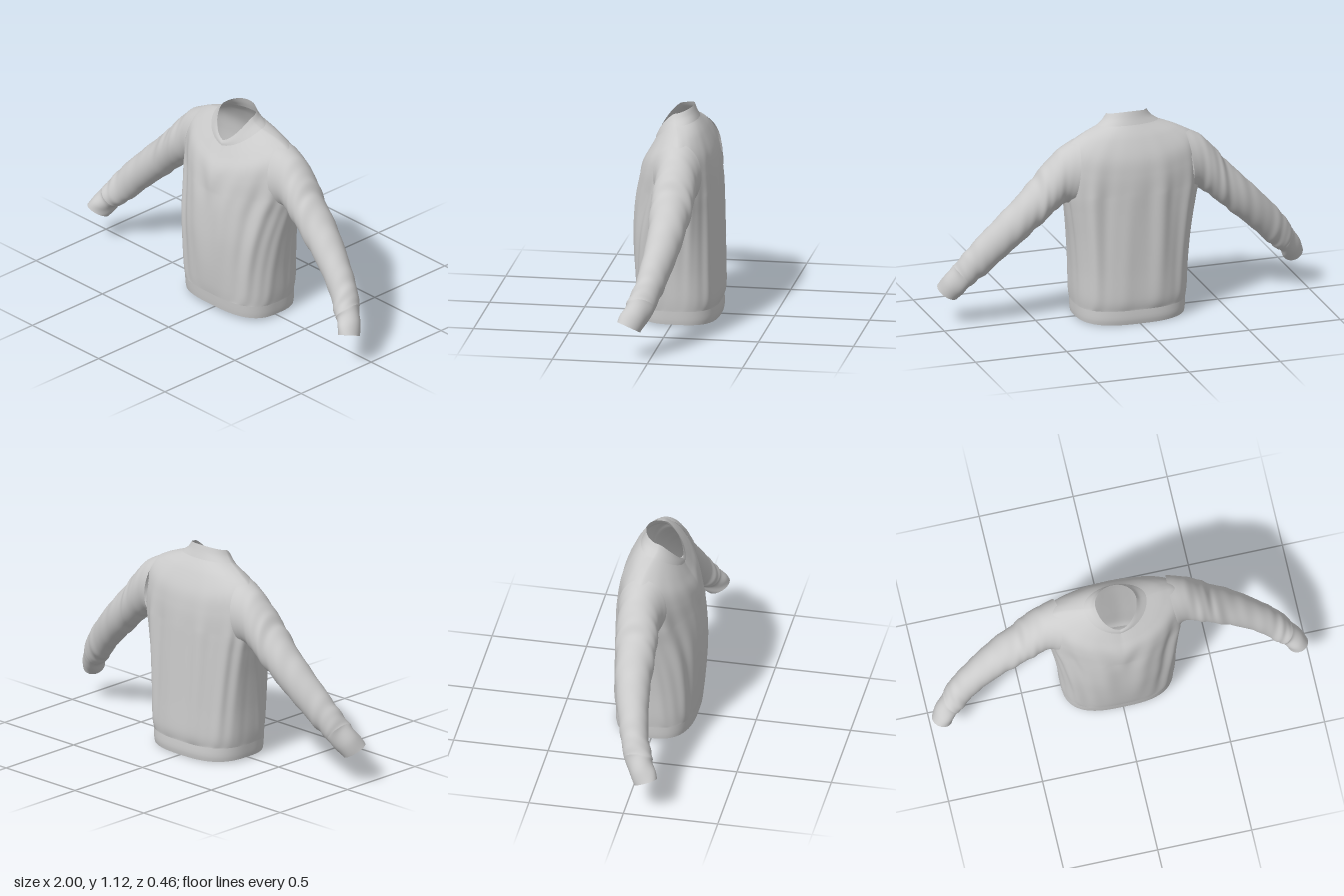
import * as THREE from 'three';

const { sin, cos, abs, sign, pow, exp, sqrt, min, PI } = Math;
const fabric = new THREE.MeshStandardMaterial({ color: 0xcccccc, side: THREE.DoubleSide });

// Smooth interpolation through rows of section parameters, t in 0..1
function sample(rows, t) {
  const f = t * (rows.length - 1);
  const i = min(Math.floor(f), rows.length - 2);
  const u = f - i;
  const row = (k) => rows[Math.max(0, min(rows.length - 1, k))];
  return rows[i].map((b, k) => {
    const a = row(i - 1)[k], c = row(i + 1)[k], d = row(i + 2)[k];
    const m0 = (c - a) / 2, m1 = (d - b) / 2;
    return b + m0 * u + (3 * (c - b) - 2 * m0 - m1) * u * u + (2 * (b - c) + m0 + m1) * u * u * u;
  });
}

// Closed-ring loft; point(t, angle) returns [x, y, z], cut(x, y, z) leaves a hole
function loft(name, point, steps, around, { flip = false, cut = () => false } = {}) {
  const pos = [], index = [];
  for (let i = 0; i <= steps; i++) {
    for (let j = 0; j < around; j++) pos.push(...point(i / steps, (j / around) * PI * 2));
  }
  for (let i = 0; i < steps; i++) {
    for (let j = 0; j < around; j++) {
      const a = i * around + j, b = i * around + ((j + 1) % around);
      const c = a + around, d = b + around;
      if (cut(...pos.slice(a * 3, a * 3 + 3))) continue;
      if (flip) index.push(a, b, c, b, d, c);
      else index.push(a, c, b, b, c, d);
    }
  }
  const g = new THREE.BufferGeometry();
  g.setAttribute('position', new THREE.Float32BufferAttribute(pos, 3));
  g.setIndex(index);
  g.computeVertexNormals();
  const mesh = new THREE.Mesh(g, fabric);
  mesh.name = name;
  return mesh;
}

// Body ring: half width, z front, z back, z side, y front, y side, y back, squareness front, squareness back
function bodyPoint([w, zf, zb, zc, yf, ys, yb, nf, nb], a, fold = 0) {
  const c = cos(a), s = sin(a);
  const n = s > 0 ? nf : nb;
  const x = w * sign(c) * pow(abs(c), 2 / n);
  const z = (s > 0 ? zf - zc : zb - zc) * pow(abs(s), 2 / n);
  // The front dips to a V, the back rises evenly
  const y = s > 0
    ? ys + (yf - ys) * (0.7 * pow(s, 1.3) + 0.3 * (1 - abs(c)))
    : ys + (yb - ys) * pow(-s, 1.3);
  return [x + fold * c, y, zc + z + fold * s];
}

// Hem band, slightly pulled in above its lower edge
const hemRows = [
  [0.293, 0.198, -0.220, 0, 0.026, 0.014, 0.003, 2.8, 2.8],
  [0.296, 0.202, -0.225, 0, 0.055, 0.040, 0.035, 2.8, 2.8],
  [0.297, 0.206, -0.222, 0, 0.095, 0.085, 0.080, 2.8, 2.8],
];
const bodyRows = [
  hemRows[2],
  [0.303, 0.213, -0.230, 0, 0.16, 0.15, 0.14, 2.7, 2.8],
  [0.310, 0.223, -0.225, 0, 0.30, 0.30, 0.29, 2.5, 2.8],
  [0.326, 0.228, -0.220, -0.01, 0.45, 0.46, 0.45, 2.3, 2.7],
  [0.350, 0.224, -0.215, -0.03, 0.60, 0.61, 0.60, 2.0, 2.5],
  [0.370, 0.214, -0.211, -0.04, 0.70, 0.72, 0.71, 1.85, 2.35],
  [0.372, 0.200, -0.204, -0.045, 0.775, 0.86, 0.81, 1.85, 2.25],
  [0.345, 0.181, -0.187, -0.045, 0.83, 0.957, 0.90, 1.9, 2.2],
  [0.265, 0.150, -0.145, -0.035, 0.885, 1.010, 0.995, 2, 2.1],
  [0.165, 0.122, -0.104, -0.01, 0.935, 1.048, 1.058, 2, 2],
];
const collarRows = [
  bodyRows[9],
  [0.130, 0.120, -0.090, 0.002, 0.948, 1.072, 1.092, 2, 2],
  [0.109, 0.112, -0.079, 0.006, 0.962, 1.100, 1.126, 2, 2],
];

// Draped folds: lengthwise on the back, pulled diagonally toward the centre on the front
function bodyFold(t, a) {
  const strength = 0.0085 * pow(sin(PI * t), 0.8) * (t < 0.55 ? 1 : exp(-(t - 0.55) * 6)) * min(1, abs(sin(a)) * 4);
  const u = sqrt((a - PI / 2) ** 2 + 0.02);
  if (sin(a) > 0) return strength * (0.7 * sin(11 * u - 7 * t) + 0.45 * sin(19 * u - 11 * t + 1));
  return strength * (0.6 * sin(13 * a + 2 * t) + 0.5 * sin(7 * a + 1) + 0.25 * sin(21 * a + 5 * t));
}

// Armhole under the head of each sleeve
const armhole = (x, y, z) => abs(x) > 0.27 && ((y - 0.815) / 0.14) ** 2 + ((z + 0.045) / 0.1) ** 2 < 1;

// Sleeve ring: upper x, y, lower x, y, z back, z front, rim tilt
const sleeveRows = [
  [0.290, 0.992, 0.332, 0.652, -0.168, 0.088, 0],
  [0.380, 0.947, 0.366, 0.655, -0.155, 0.066, 0],
  [0.462, 0.868, 0.425, 0.612, -0.150, 0.068, 0],
  [0.540, 0.770, 0.510, 0.540, -0.138, 0.070, 0],
  [0.663, 0.647, 0.608, 0.448, -0.115, 0.067, 0],
  [0.785, 0.517, 0.702, 0.360, -0.080, 0.080, 0],
  [0.870, 0.412, 0.780, 0.280, -0.050, 0.102, 0],
  [0.926, 0.328, 0.838, 0.226, -0.020, 0.132, 0.005],
];
const cuffRows = [
  sleeveRows[7],
  [0.938, 0.304, 0.860, 0.212, -0.006, 0.134, 0.010],
  [0.974, 0.254, 0.878, 0.184, 0.018, 0.153, 0.018],
  [0.999, 0.198, 0.893, 0.160, 0.048, 0.167, 0.025],
];

function armPoint([ux, uy, lx, ly, zb, zf, tilt], a, side, fold) {
  const c = cos(a) * (1 + fold), s = sin(a) * (1 + fold);
  return [
    side * ((ux + lx) / 2 + (c * (ux - lx)) / 2),
    (uy + ly) / 2 + (c * (uy - ly)) / 2 + tilt * s,
    (zf + zb) / 2 + (s * (zf - zb)) / 2,
  ];
}

// Slanting creases, strongest at the elbow and where the sleeve bunches above the cuff
function sleeveFold(t, a) {
  const ends = min(1, t * 4) * min(1, (1 - t) * 12);
  const strength = 0.015 + 0.025 * exp(-pow((t - 0.42) * 7, 2)) + 0.045 * exp(-pow((t - 0.93) * 9, 2));
  return ends * strength * (sin(42 * t + 2 * sin(a + 0.6)) * 0.6 + sin(2 * a + 17 * t) * 0.5 + sin(71 * t + 3 * cos(a)) * 0.35);
}

export function createModel() {
  const group = new THREE.Group();
  group.name = 'sweatshirt';

  // Trunk of the garment, open at hem, neck and armholes
  group.add(loft('body', (t, a) => bodyPoint(sample(bodyRows, t), a, bodyFold(t, a)), 90, 180, { cut: armhole }));
  group.add(loft('hemBand', (t, a) => bodyPoint(sample(hemRows, t), a), 6, 180));
  group.add(loft('collar', (t, a) => bodyPoint(sample(collarRows, t), a), 8, 180));

  // Mirrored sleeves with open cuffs
  for (const [label, side] of [['left', 1], ['right', -1]]) {
    const flip = side > 0;
    const arm = new THREE.Group();
    arm.name = label + 'Arm';
    arm.add(loft(label + 'Sleeve', (t, a) => armPoint(sample(sleeveRows, t), a, side, sleeveFold(t, a)), 100, 56, { flip }));
    arm.add(loft(label + 'Cuff', (t, a) => armPoint(sample(cuffRows, t), a, side, 0.05 * sin(PI * t) * sin(3 * a + 4 * t)), 18, 56, { flip }));
    group.add(arm);
  }
  return group;
}
